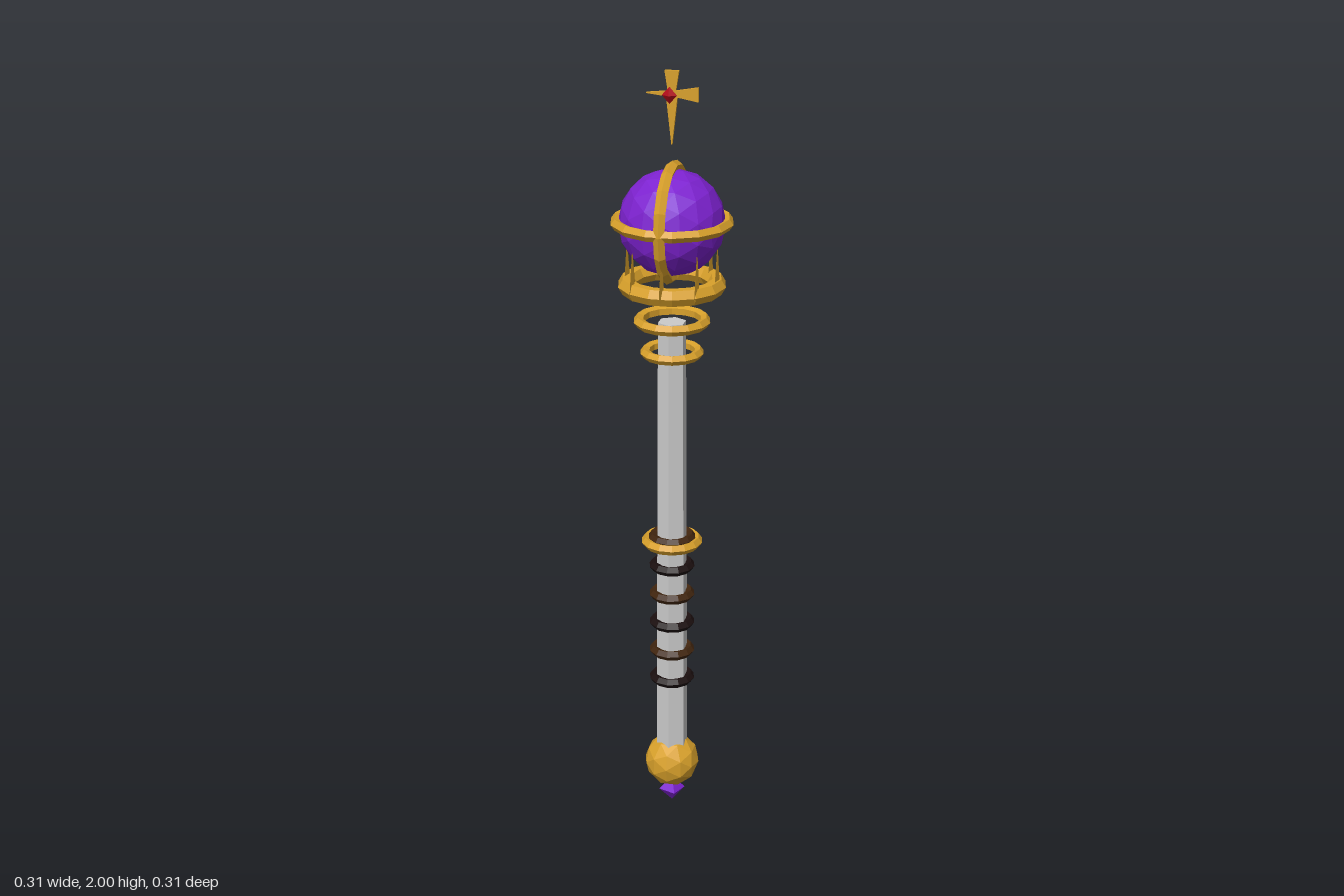
import * as THREE from 'three';

const mat = (color, extra = {}) => new THREE.MeshStandardMaterial({ color, flatShading: true, ...extra });

export function createModel() {
  const group = new THREE.Group();
  group.name = 'sceptre';
  const gold = mat(0xd9a12b);
  const goldThin = mat(0xd9a12b, { side: THREE.DoubleSide });
  const silver = mat(0xcccccc);
  const purple = mat(0x7d22d0);
  const red = mat(0xb00818);
  const black = mat(0x1c1010);
  const brown = mat(0x42260f);

  const add = (name, geometry, material, x = 0, y = 0, z = 0, parent = group) => {
    const mesh = new THREE.Mesh(geometry, material);
    mesh.name = name;
    mesh.position.set(x, y, z);
    parent.add(mesh);
    return mesh;
  };
  // Horizontal low-poly ring, given by its outer radius
  const ring = (name, y, outer, tube, material, sides = 5, segments = 14) =>
    add(name, new THREE.TorusGeometry(outer - tube, tube, sides, segments).rotateX(Math.PI / 2), material, 0, y);

  // Pommel with a gem at its tip
  const tip = add('pommelGem', new THREE.OctahedronGeometry(0.035, 0), purple, 0, 0.035);
  tip.rotation.y = 0.4;
  add('pommel', new THREE.IcosahedronGeometry(0.073, 1), gold, 0, 0.125);

  // Tapered shaft
  add('shaft', new THREE.CylinderGeometry(0.037, 0.043, 1.2, 6), silver, 0, 0.765);

  // Grip bands, alternating dark and brown
  for (let i = 0; i < 5; i++) {
    ring('gripBand', 0.375 + i * 0.081, 0.06, 0.013, i % 2 ? brown : black, 5, 12);
  }
  ring('gripTopBand', 0.78, 0.062, 0.012, brown, 5, 12);

  // Gold collars
  ring('gripCollar', 0.768, 0.08, 0.014, gold);
  ring('lowerCollar', 1.285, 0.081, 0.013, gold);
  ring('upperCollar', 1.368, 0.098, 0.014, gold);

  // Crown: base ring and eight blades, all lying parallel to the yz plane
  ring('crownBase', 1.463, 0.137, 0.023, gold, 6, 14);
  const blade = new THREE.CylinderGeometry(0.001, 0.032, 0.12, 4).scale(0.22, 1, 1);
  for (let i = 0; i < 8; i++) {
    const a = (i * Math.PI) / 4;
    add('crownBlade', blade, gold, 0.115 * Math.cos(a), 1.515, 0.115 * Math.sin(a));
  }

  // Orb with its two bands
  add('orb', new THREE.IcosahedronGeometry(0.134, 2), purple, 0, 1.622);
  ring('orbEquator', 1.624, 0.155, 0.015, gold);
  const meridian = add('orbMeridian', new THREE.TorusGeometry(0.14, 0.015, 5, 16), gold, 0, 1.622);
  meridian.rotation.y = Math.PI / 2;

  // Floating cross of thin wedges: [length, width at centre, width at end, angle]
  const cross = new THREE.Group();
  cross.name = 'cross';
  cross.position.y = 1.943;
  group.add(cross);
  const arms = [
    [0.057, 0.018, 0.036, 0],
    [0.066, 0.012, 0.036, -Math.PI / 2],
    [0.064, 0.016, 0.002, Math.PI / 2],
    [0.125, 0.03, 0.002, Math.PI],
  ];
  for (const [length, inner, outer, angle] of arms) {
    const shape = new THREE.Shape([
      new THREE.Vector2(-inner / 2, 0),
      new THREE.Vector2(inner / 2, 0),
      new THREE.Vector2(outer / 2, length),
      new THREE.Vector2(-outer / 2, length),
    ]);
    const wedge = new THREE.ExtrudeGeometry(shape, { depth: 0.008, bevelEnabled: false }).translate(0, 0, -0.004);
    add('crossArm', wedge, goldThin, 0, 0, 0, cross).rotation.z = angle;
  }
  add('crossGem', new THREE.OctahedronGeometry(0.021, 0).scale(0.9, 1, 0.6), red, -0.002, 0, 0.02, cross);

  return group;
}
